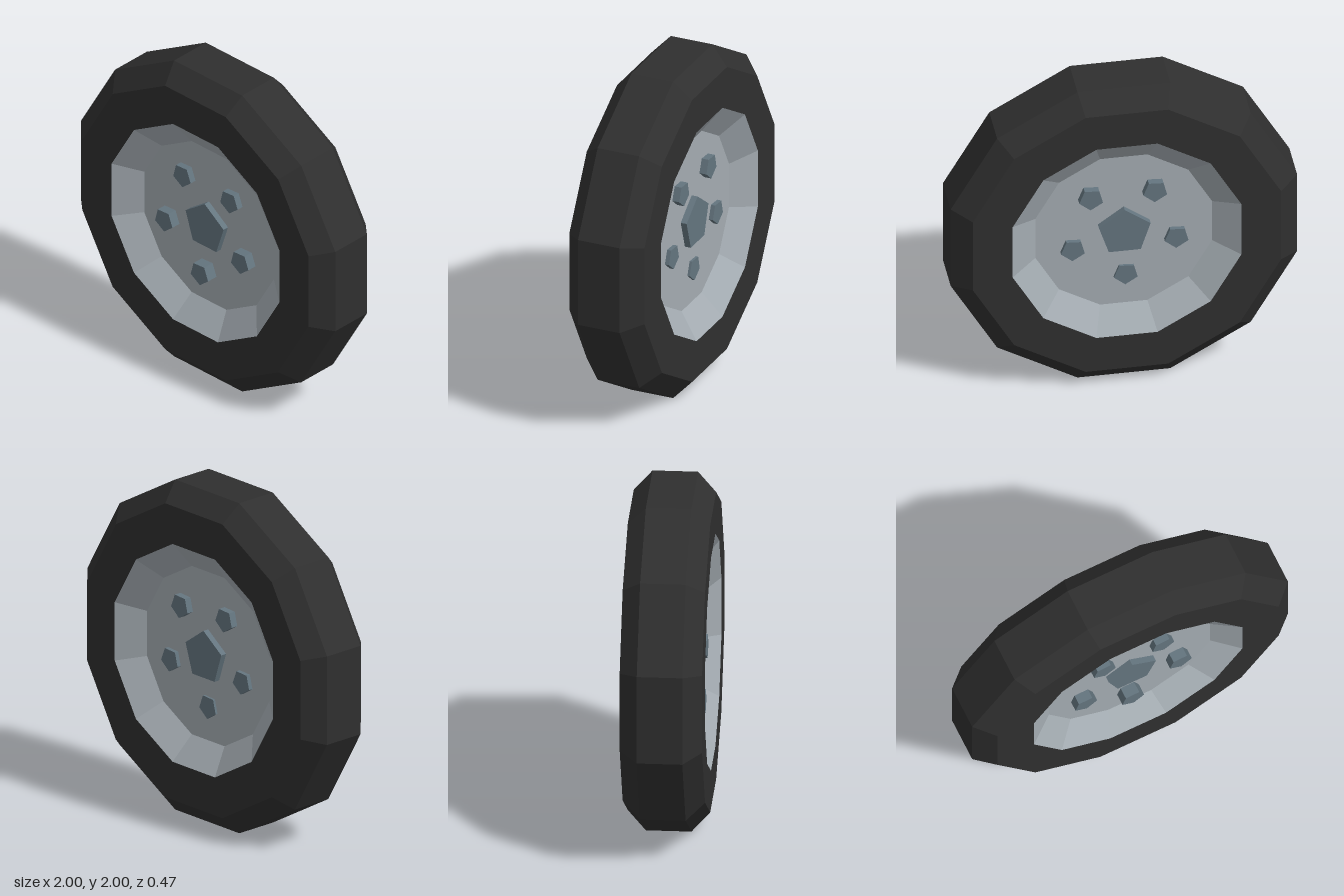
import * as THREE from 'three';

const SIDES = 12;
const material = (color) => new THREE.MeshStandardMaterial({ color, flatShading: true });

// Faceted mesh whose axis runs along z
function part(name, geometry, mat) {
  const flat = geometry.rotateX(Math.PI / 2).toNonIndexed();
  flat.computeVertexNormals();
  const mesh = new THREE.Mesh(flat, mat);
  mesh.name = name;
  return mesh;
}

// Twelve-sided ring from [apothem, z] pairs, with a flat side on the ground
function ring(name, profile, mat) {
  const points = profile.map(([a, z]) => new THREE.Vector2(a / Math.cos(Math.PI / SIDES), z));
  return part(name, new THREE.LatheGeometry(points, SIDES, Math.PI / SIDES), mat);
}

// Five-sided bolt that passes through the disc, point down
function bolt(name, radius, length, mat) {
  return part(name, new THREE.CylinderGeometry(radius, radius, length, 5), mat);
}

export function createModel() {
  const model = new THREE.Group();
  model.name = 'wheel';
  const rubber = material(0x2f2f2f);
  const alloy = material(0xa4acb2);
  const steel = material(0x64757f);

  // Tyre with bevelled shoulders
  model.add(ring('tyre', [
    [0.66, -0.235], [0.89, -0.235], [1, -0.13],
    [1, 0.13], [0.89, 0.235], [0.66, 0.235],
  ], rubber));

  // Rim dished towards the centre disc on both faces
  model.add(ring('rim', [
    [0, -0.123], [0.51, -0.123], [0.66, -0.235],
    [0.66, 0.235], [0.51, 0.123], [0, 0.123],
  ], alloy));

  // Hub, point up
  const hub = bolt('hub', 0.157, 0.32, steel);
  hub.rotation.z = Math.PI;
  hub.position.y = 0.005;
  model.add(hub);

  // Ring of wheel nuts, leaning slightly forward at the bottom
  for (let i = 0; i < 5; i++) {
    const angle = THREE.MathUtils.degToRad(-92 + i * 72);
    const nut = bolt('wheelNut', 0.072, 0.33, steel);
    const y = 0.012 + 0.315 * Math.sin(angle);
    nut.position.set(0.315 * Math.cos(angle), y, 0.012 - 0.05 * y);
    nut.rotation.z = 0.06;
    model.add(nut);
  }

  model.children.forEach((child) => { child.position.y += 1; });
  return model;
}
